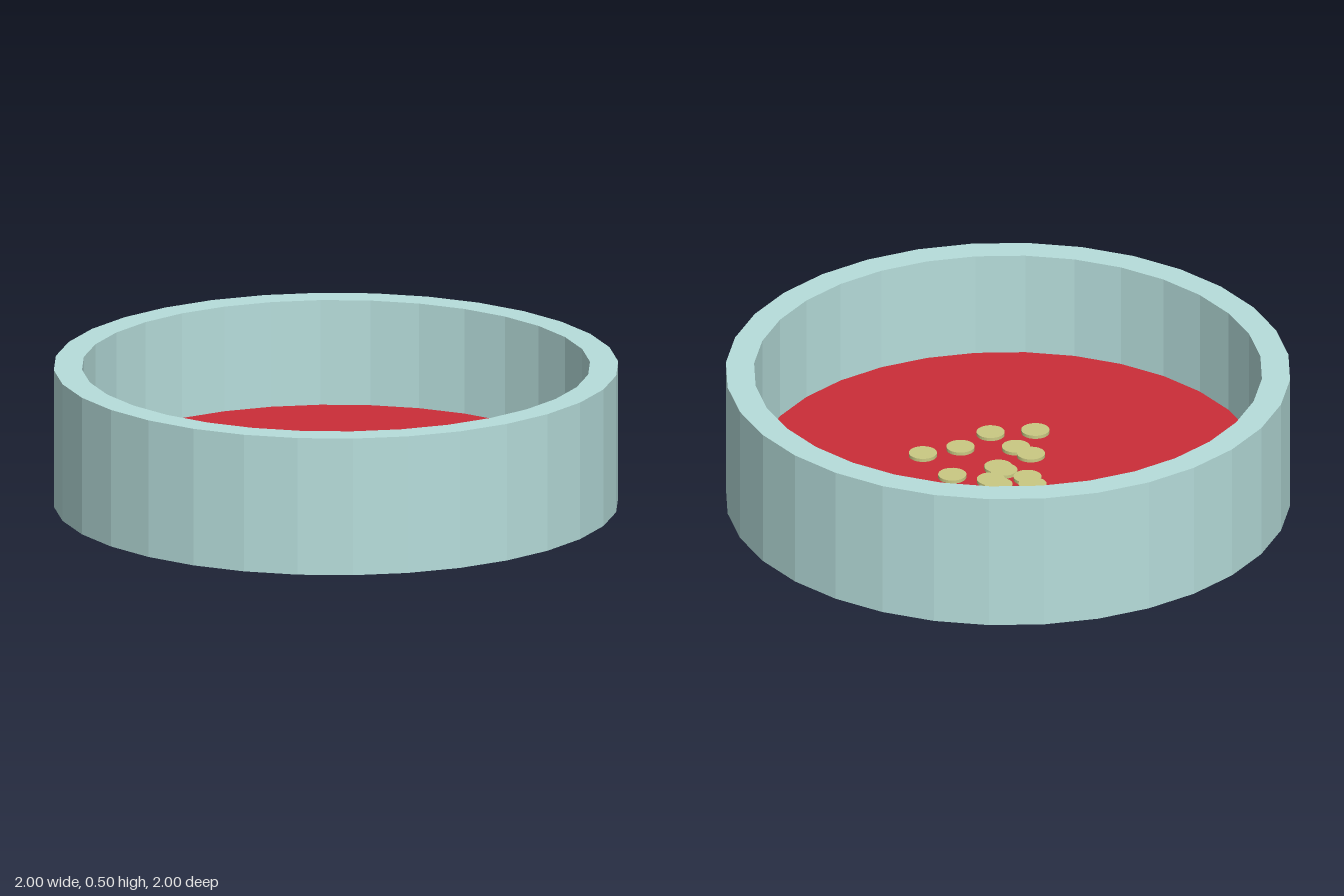
import * as THREE from 'three';

const SIDES = 32;

function material(color) {
  return new THREE.MeshStandardMaterial({ color, flatShading: true });
}

function addMesh(group, name, geometry, mat, x = 0, y = 0, z = 0) {
  const mesh = new THREE.Mesh(geometry, mat);
  mesh.name = name;
  mesh.position.set(x, y, z);
  group.add(mesh);
  return mesh;
}

export function createModel() {
  const model = new THREE.Group();
  model.name = 'coinBasin';

  const radius = 1, innerRadius = 0.9, height = 0.5, floorY = 0.117;

  // Basin: underside, outer wall, rim and inner wall
  const profile = [
    [0, 0], [radius, 0], [radius, height], [innerRadius, height], [innerRadius, floorY],
  ].map(([x, y]) => new THREE.Vector2(x, y));
  addMesh(model, 'basin', new THREE.LatheGeometry(profile, SIDES), material(0xb6dddb));

  // Red floor inside the basin
  const floor = new THREE.CircleGeometry(innerRadius, SIDES).rotateX(-Math.PI / 2);
  addMesh(model, 'floor', floor, material(0xcb2d38), 0, floorY, 0);

  // Coins scattered on the floor, as [x, z]
  const coinSpots = [
    [-0.13, -0.26], [-0.065, -0.14], [-0.02, -0.125], [-0.16, -0.065], [-0.11, -0.03],
    [-0.01, -0.04], [0.02, -0.03], [0.11, -0.18], [0.295, -0.11], [0.22, 0.01],
    [-0.01, 0.12], [0.065, 0.13], [0.205, 0.165], [0.09, 0.275],
  ];
  const coinHeight = 0.012;
  const coinGeometry = new THREE.CylinderGeometry(0.05, 0.05, coinHeight, SIDES);
  const coinMaterial = material(0xcac983);
  const coins = new THREE.Group();
  coins.name = 'coins';
  for (const [x, z] of coinSpots) {
    addMesh(coins, 'coin', coinGeometry, coinMaterial, x, floorY + coinHeight / 2, z);
  }
  model.add(coins);

  return model;
}
